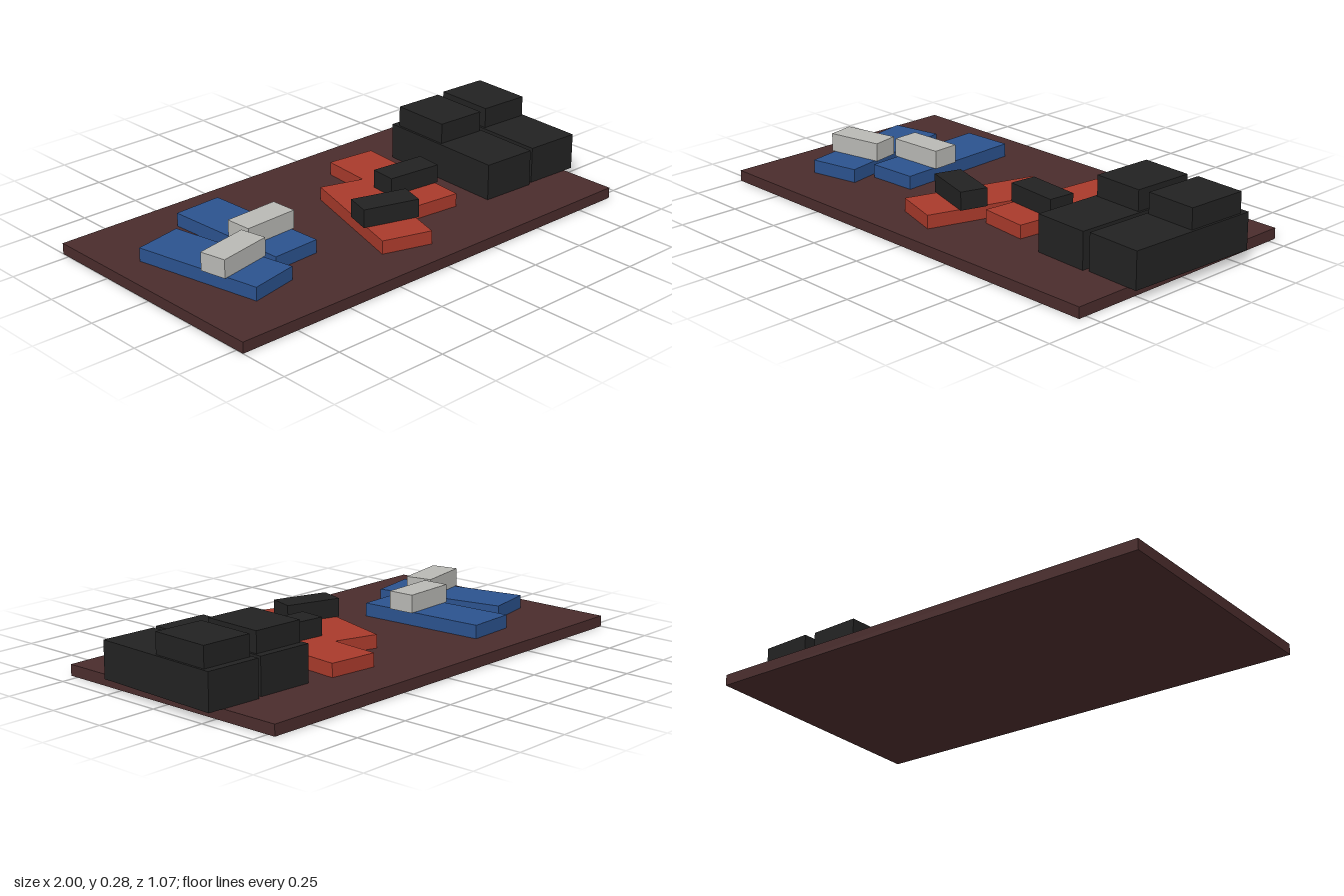
import * as THREE from 'three';

const mat = (name, color) => {
  const m = new THREE.MeshStandardMaterial({ color });
  m.name = name;
  return m;
};

export function createModel() {
  const brown = mat('brown', 0x4a2c2c);
  const blue = mat('blue', 0x2b528e);
  const red = mat('red', 0xa93a2b);
  const grey = mat('lightGrey', 0xb8b8b4);
  const black = mat('black', 0x222222);
  const model = new THREE.Group();
  model.name = 'shoeMat';
  const top = 0.045; // height of the mat's surface

  // Box resting on height y, shifted along z
  const box = (parent, name, material, w, h, d, y, z = 0) => {
    const mesh = new THREE.Mesh(new THREE.BoxGeometry(w, h, d), material);
    mesh.name = name;
    mesh.position.set(0, y + h / 2, z);
    parent.add(mesh);
    return mesh;
  };
  const shoe = (name, x, z, turn) => {
    const g = new THREE.Group();
    g.name = name;
    g.position.set(x, top, z);
    g.rotation.y = turn;
    model.add(g);
    return g;
  };

  // Mat
  box(model, 'mat', brown, 1.93, top, 1.07, 0).position.x = -0.035;

  // Sandals: flat sole with a wider strap across it
  const sandal = (name, sole, strap, x, z, turn) => {
    const g = shoe(name, x, z, turn);
    box(g, 'sole', sole, 0.21, 0.055, 0.555, 0);
    box(g, 'strap', strap, 0.235, 0.075, 0.112, 0.055, 0.088);
  };
  sandal('blueSandalRight', blue, grey, -0.72, 0.04, 0.2);
  sandal('blueSandalLeft', blue, grey, -0.465, -0.09, 0.05);
  sandal('redSandalRight', red, black, 0.008, 0.125, -0.3);
  sandal('redSandalLeft', red, black, 0.266, -0.046, -0.1);

  // Boots: foot block with a shaft at the heel
  [['bootRight', 0.61], ['bootLeft', 0.867]].forEach(([name, x]) => {
    const g = shoe(name, x, 0, -0.045);
    box(g, 'foot', black, 0.235, 0.15, 0.577, 0);
    box(g, 'shaft', black, 0.215, 0.085, 0.258, 0.15, -0.127);
  });

  return model;
}
